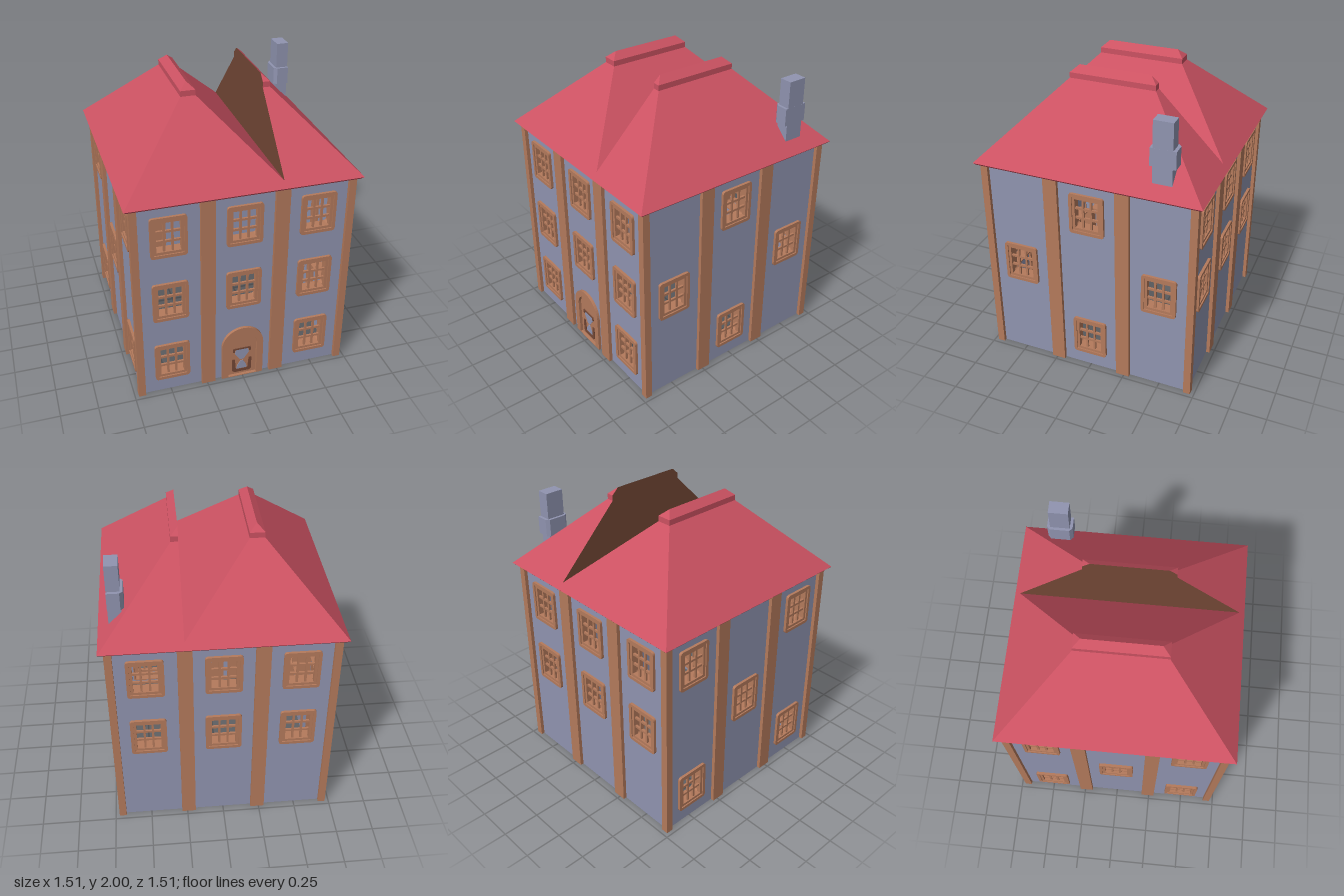
import * as THREE from 'three';

const mat = (name, color) => {
  const m = new THREE.MeshStandardMaterial({ color });
  m.name = name;
  return m;
};

// Rectangle with rounded corners, centred on cx, cy (half sizes)
function rect(T, cx, cy, w, h, r = 0) {
  const s = new T();
  s.moveTo(cx - w + r, cy - h);
  s.lineTo(cx + w - r, cy - h);
  if (r) s.quadraticCurveTo(cx + w, cy - h, cx + w, cy - h + r);
  s.lineTo(cx + w, cy + h - r);
  if (r) s.quadraticCurveTo(cx + w, cy + h, cx + w - r, cy + h);
  s.lineTo(cx - w + r, cy + h);
  if (r) s.quadraticCurveTo(cx - w, cy + h, cx - w, cy + h - r);
  s.lineTo(cx - w, cy - h + r);
  if (r) s.quadraticCurveTo(cx - w, cy - h, cx - w + r, cy - h);
  return s;
}

// Round-headed doorway outline
function arch(T, w, spring, bottom = 0) {
  const s = new T();
  s.moveTo(-w, bottom);
  s.lineTo(w, bottom);
  s.lineTo(w, spring);
  s.absarc(0, spring, w, 0, Math.PI, false);
  s.lineTo(-w, bottom);
  return s;
}

const outline = (pts) => new THREE.Shape(pts.map(([x, y]) => new THREE.Vector2(x, y)));

// Flat-shaded surface from convex polygons
function faces(polys) {
  const p = [];
  for (const f of polys)
    for (let i = 1; i < f.length - 1; i++) p.push(...f[0], ...f[i], ...f[i + 1]);
  const g = new THREE.BufferGeometry();
  g.setAttribute('position', new THREE.Float32BufferAttribute(p, 3));
  g.computeVertexNormals();
  return g;
}
const mirrorZ = (f) => f.map(([x, y, z]) => [x, y, -z]).reverse();

export function createModel() {
  const wallM = mat('blue grey wall', 0x9094b0);
  const woodM = mat('orange brown timber', 0xb47a5c);
  const darkM = mat('dark brown', 0x744836);
  const roofM = mat('red roof', 0xcc5262);

  const house = new THREE.Group();
  house.name = 'house';
  const add = (parent, name, geo, m, x = 0, y = 0, z = 0) => {
    const mesh = new THREE.Mesh(geo, m);
    mesh.name = name;
    mesh.position.set(x, y, z);
    parent.add(mesh);
    return mesh;
  };
  const box = (parent, name, m, w, h, d, x, y, z) =>
    add(parent, name, new THREE.BoxGeometry(w, h, d), m, x, y, z);
  const plate = (parent, name, m, shape, z0, z1, holes = []) => {
    shape.holes.push(...holes);
    const geo = new THREE.ExtrudeGeometry(shape, { depth: z1 - z0, bevelEnabled: false, curveSegments: 12 });
    return add(parent, name, geo, m, 0, 0, z0);
  };

  const H = 1.44, COL = 0.485, ROW = [0.245, 0.73, 1.213];

  // Window: trim, sash, glazing bars and the deep lining inside the wall
  function addWindow(side, cx, cy) {
    const w = new THREE.Group();
    w.name = 'window';
    w.position.set(cx, cy, 0);
    side.add(w);
    const R = (T, a, b, r) => rect(T, 0, 0, a, b, r);
    plate(w, 'windowTrim', woodM, R(THREE.Shape, 0.117, 0.142, 0.022), 0.685, 0.718, [R(THREE.Path, 0.096, 0.121)]);
    plate(w, 'windowSash', woodM, R(THREE.Shape, 0.096, 0.121), 0.68, 0.71, [R(THREE.Path, 0.078, 0.103)]);
    plate(w, 'windowLining', woodM, R(THREE.Shape, 0.117, 0.142, 0.022), 0.6, 0.685, [R(THREE.Path, 0.107, 0.132, 0.018)]);
    for (const s of [-1, 1]) {
      box(w, 'verticalBar', woodM, 0.014, 0.206, 0.014, s * 0.027, 0, 0.695);
      box(w, 'horizontalBar', woodM, 0.156, 0.015, 0.014, 0, s * 0.034, 0.694);
    }
  }

  // Arched door with its carved ornament
  function addDoor(side) {
    const d = new THREE.Group();
    d.name = 'door';
    side.add(d);
    plate(d, 'doorFrame', woodM, arch(THREE.Shape, 0.145, 0.265), 0.665, 0.72, [arch(THREE.Path, 0.1, 0.265, 0.005)]);
    plate(d, 'doorPanel', woodM, arch(THREE.Shape, 0.1, 0.265), 0.675, 0.7);
    const Z0 = 0.672, Z1 = 0.704;
    plate(d, 'upperInlay', wallM, outline([[-0.012, 0.13], [0.012, 0.13], [0.05, 0.185], [0.04, 0.22], [-0.04, 0.22], [-0.05, 0.185]]), Z0, Z1);
    plate(d, 'lowerInlay', wallM, outline([[-0.038, 0.05], [0.038, 0.05], [0.03, 0.08], [0.008, 0.118], [-0.008, 0.118], [-0.03, 0.08]]), Z0, Z1);
    plate(d, 'ornamentBase', darkM, outline([
      [-0.068, 0.04], [-0.055, 0.025], [0.055, 0.025], [0.068, 0.04], [0.068, 0.135], [0.05, 0.135],
      [0.042, 0.048], [-0.042, 0.048], [-0.05, 0.135], [-0.068, 0.135]]), 0.699, 0.706);
    box(d, 'ornamentBar', darkM, 0.12, 0.01, 0.007, 0, 0.223, 0.7025);
    for (const s of [-1, 1]) box(d, 'ornamentEnd', darkM, 0.012, 0.026, 0.007, s * 0.056, 0.21, 0.7025);
  }

  // One side of the house: pierced wall, pilasters and openings
  function addSide(name, angle, windows, hasDoor) {
    const side = new THREE.Group();
    side.name = name;
    side.rotation.y = angle;
    house.add(side);
    const holes = windows.map(([c, r]) => rect(THREE.Path, c * COL, ROW[r], 0.1, 0.125));
    if (hasDoor) holes.push(arch(THREE.Path, 0.12, 0.265, 0.002));
    plate(side, 'wall', wallM, rect(THREE.Shape, 0, H / 2, 0.7, H / 2), 0.685, 0.7, holes);
    for (const s of [-1, 1]) box(side, 'pilaster', woodM, 0.094, H, 0.055, s * 0.24, H / 2, 0.6965);
    box(side, 'cornerPost', woodM, 0.048, H, 0.048, 0.7, H / 2, 0.7);
    for (const [c, r] of windows) addWindow(side, c, 0), side.children.at(-1).position.set(c * COL, ROW[r], 0);
    if (hasDoor) addDoor(side);
  }
  const upper = [-1, 0, 1].flatMap((c) => [[c, 1], [c, 2]]);
  addSide('frontSide', 0, [...upper, [-1, 0], [1, 0]], true);
  addSide('backSide', Math.PI, upper, false);
  addSide('leftSide', Math.PI / 2, [[0, 0], [-1, 1], [1, 1], [0, 2]], false);
  addSide('rightSide', -Math.PI / 2, [[-1, 0], [1, 0], [0, 1], [-1, 2], [1, 2]], false);

  // Eaves
  const e = 0.757, y0 = 1.452;
  const eave = new THREE.CylinderGeometry(e * Math.SQRT2, 0.74 * Math.SQRT2, 0.017, 4).toNonIndexed();
  eave.rotateY(Math.PI / 4);
  eave.computeVertexNormals();
  add(house, 'eaves', eave, roofM, 0, y0 - 0.0085, 0);

  // Twin hipped roof; the second half is cut upright at the valley
  const r = 0.24, v = 0.24, yr = y0 + e - r, yv = yr - v - r, zv = e - (yv - y0);
  const hips = [
    [[-e, y0, e], [v, y0, e], [v, yv, zv], [-r, yr, r]],
    [[v, y0, e], [e, y0, e], [v, yr, r]],
  ];
  add(house, 'roof', faces([
    ...hips, ...hips.map(mirrorZ),
    [[-e, y0, -e], [-e, y0, e], [-r, yr, r], [-r, yr, -r]],
    [[v, yv, zv], [v, yv, -zv], [-r, yr, -r], [-r, yr, r]],
    [[e, y0, e], [e, y0, -e], [v, yr, -r], [v, yr, r]],
  ]), roofM);
  add(house, 'roofCut', faces([[[v, yv, -zv], [v, yv, zv], [v, yr, r], [v, yr, -r]]]), darkM);

  // Ridge caps with hipped tops
  const ca = 1.92, cb = 1.957, ct = 2, cz = 0.288;
  function addCap(x0, x1, xr, leftM) {
    const ends = [
      [[x0, ca, cz], [x1, ca, cz], [x1, cb, cz], [x0, cb, cz]],
      [[x0, cb, cz], [x1, cb, cz], [xr, ct, r]],
    ];
    add(house, 'ridgeCap', faces([
      ...ends, ...ends.map(mirrorZ),
      [[x1, ca, cz], [x1, ca, -cz], [x1, cb, -cz], [x1, cb, cz]],
      [[x1, cb, cz], [x1, cb, -cz], [xr, ct, -r], [xr, ct, r]],
      [[x0, ca, -cz], [x1, ca, -cz], [x1, ca, cz], [x0, ca, cz]],
    ]), roofM);
    add(house, 'ridgeCapSide', faces([
      [[x0, ca, -cz], [x0, ca, cz], [x0, cb, cz], [x0, cb, -cz]],
      [[x0, cb, -cz], [x0, cb, cz], [xr, ct, r], [xr, ct, -r]],
    ]), leftM);
  }
  addCap(-0.288, -0.192, -0.24, roofM);
  addCap(v, 0.288, v, darkM);

  // Chimney: shaft and chamfered collar
  box(house, 'chimneyShaft', wallM, 0.083, 0.41, 0.126, 0.643, 1.725, -0.481);
  const collar = plate(house, 'chimneyCollar', wallM, outline([
    [0.685, 0.4], [0.685, 0.565], [0.605, 0.565], [0.584, 0.545], [0.584, 0.42], [0.605, 0.4]]), 0, 0.118);
  collar.rotation.x = -Math.PI / 2;
  collar.position.set(0, 1.636, 0);

  return house;
}
